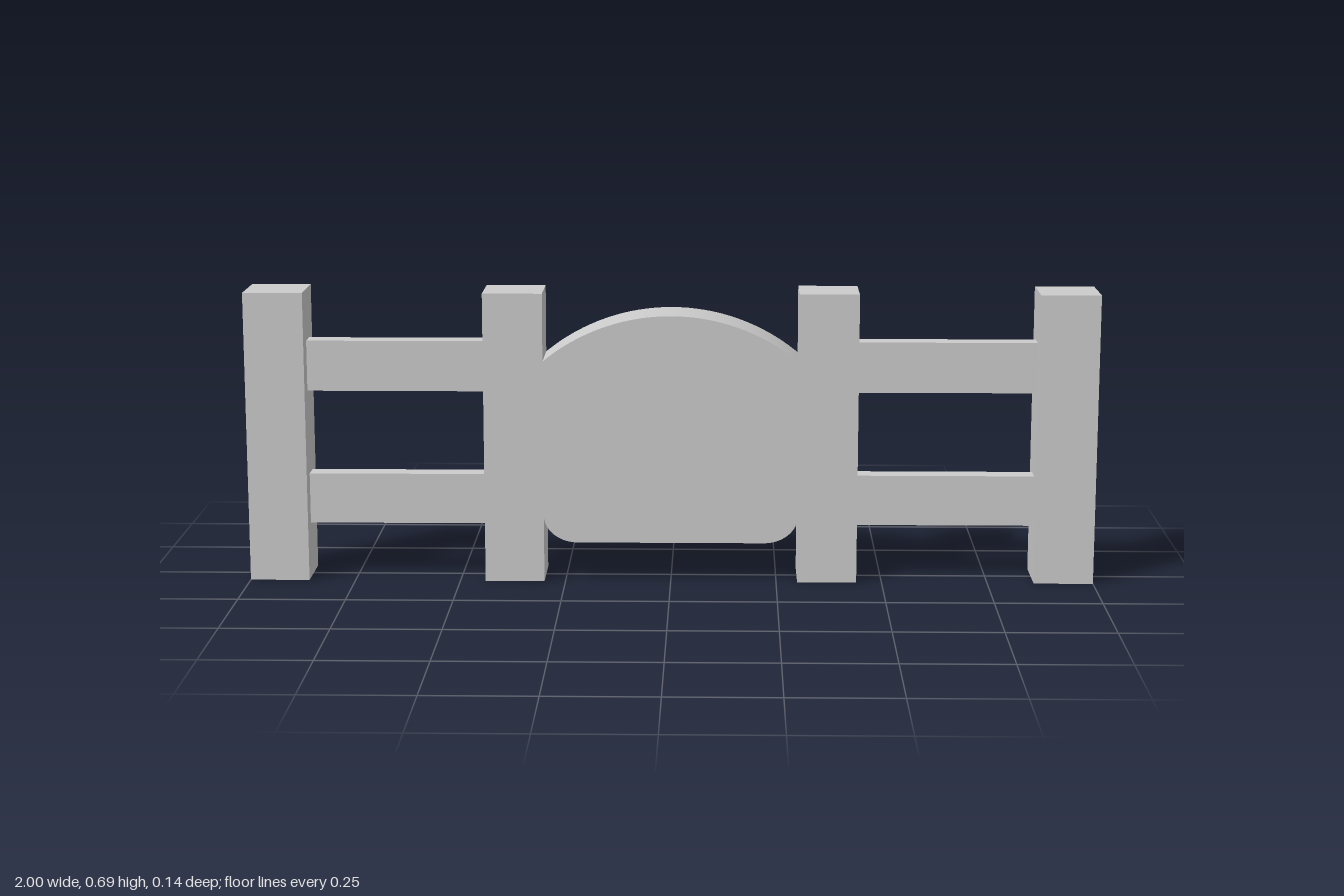
import * as THREE from 'three';
import { toCreasedNormals } from 'three/addons/utils/BufferGeometryUtils.js';

const POST_H = 0.69, POST_W = 0.14;

export function createModel() {
  const group = new THREE.Group();
  const material = new THREE.MeshStandardMaterial({ color: 0xcccccc });

  const add = (name, geometry, x = 0, y = 0, z = 0) => {
    const mesh = new THREE.Mesh(geometry, material);
    mesh.name = name;
    mesh.position.set(x, y, z);
    group.add(mesh);
  };

  for (const [side, s] of [['left', 1], ['right', -1]]) {
    // Square posts: one at the end, one beside the panel
    const post = new THREE.BoxGeometry(POST_W, POST_H, POST_W);
    add(side + 'OuterPost', post, s * 0.93, POST_H / 2);
    add(side + 'InnerPost', post, s * 0.37, POST_H / 2);

    // Two thin rails between the posts
    const rail = new THREE.BoxGeometry(0.42, 0.12, 0.05);
    add(side + 'LowerRail', rail, s * 0.65, 0.19);
    add(side + 'UpperRail', rail, s * 0.65, 0.51);
  }

  // Centre panel: arched top, rounded lower corners
  const half = 0.3, bottom = 0.095, shoulder = 0.53, peak = 0.638;
  const rise = peak - shoulder;
  const radius = (half * half + rise * rise) / (2 * rise);
  const angle = Math.asin(half / radius);
  const rx = 0.08, ry = 0.065;

  const outline = new THREE.Shape();
  outline.moveTo(-half + rx, bottom);
  outline.lineTo(half - rx, bottom);
  outline.absellipse(half - rx, bottom + ry, rx, ry, -Math.PI / 2, 0, false);
  outline.lineTo(half, shoulder);
  outline.absarc(0, peak - radius, radius, Math.PI / 2 - angle, Math.PI / 2 + angle, false);
  outline.lineTo(-half, bottom + ry);
  outline.absellipse(-half + rx, bottom + ry, rx, ry, Math.PI, Math.PI * 1.5, false);

  const panel = new THREE.ExtrudeGeometry(outline, {
    depth: POST_W, bevelEnabled: false, curveSegments: 24,
  });
  panel.translate(0, 0, -POST_W / 2);
  add('centrePanel', toCreasedNormals(panel, 0.5));

  return group;
}
